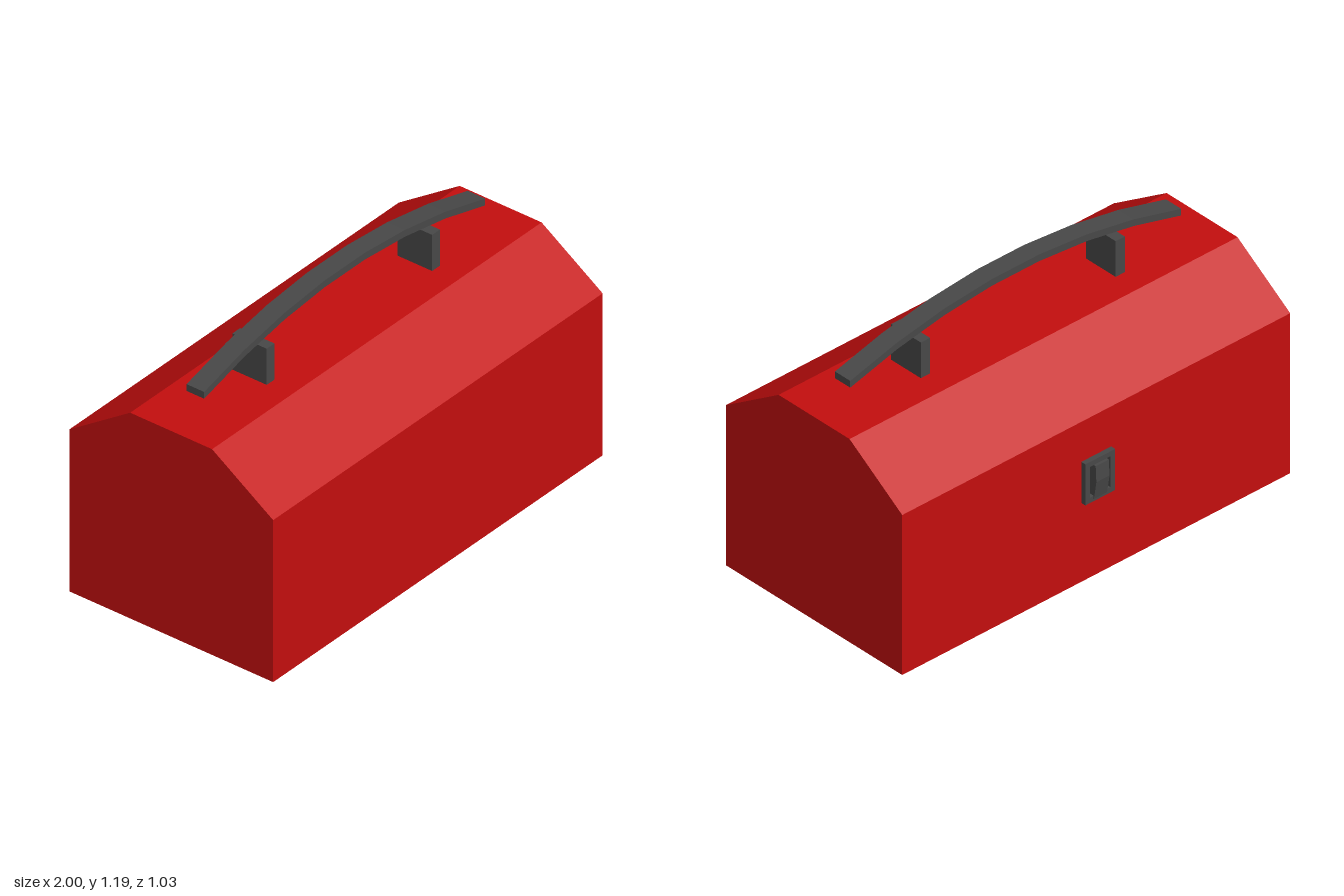
import * as THREE from 'three';

const red = new THREE.MeshStandardMaterial({ color: 0xc40e0e, flatShading: true });
red.name = 'red paint';
const grey = new THREE.MeshStandardMaterial({ color: 0x484848, flatShading: true });
grey.name = 'dark grey metal';

const toShape = (pts) => new THREE.Shape(pts.map(([x, y]) => new THREE.Vector2(x, y)));

// Extrudes an outline of (z, y) points along x, centred on x = 0
function extrudeAlongX(pts, width) {
  const g = new THREE.ExtrudeGeometry(toShape(pts.map(([z, y]) => [-z, y])), { depth: width, bevelEnabled: false });
  return g.translate(0, 0, -width / 2).rotateY(Math.PI / 2);
}

export function createModel() {
  const model = new THREE.Group();
  model.name = 'toolbox';
  const add = (name, geometry, material) => {
    const mesh = new THREE.Mesh(geometry, material);
    mesh.name = name;
    model.add(mesh);
    return mesh;
  };

  // Box with sloping lid
  add('body', extrudeAlongX([
    [0.518, 0], [0.518, 0.74], [0.22, 0.94], [-0.18, 0.94], [-0.477, 0.74], [-0.477, 0],
  ], 2), red);

  // Handle posts
  for (const side of [-1, 1]) {
    add(side < 0 ? 'rightPost' : 'leftPost', new THREE.BoxGeometry(0.047, 0.165, 0.168), grey)
      .position.set(side * 0.502, 1.0225, 0.021);
  }

  // Arched handle: seven straight segments
  const top = [], bottom = [];
  for (let i = 0; i <= 7; i++) {
    const x = -0.853 + (1.706 * i) / 7;
    const y = 1.193 - 0.183 * x * x;
    top.push([x, y]);
    bottom.unshift([x, y - 0.031]);
  }
  const handle = new THREE.ExtrudeGeometry(toShape([...top, ...bottom]), { depth: 0.086, bevelEnabled: false });
  add('handle', handle.translate(0, 0, -0.023), grey);

  // Latch frame on the back, open in the middle
  const frame = toShape([[-0.077, 0.365], [0.077, 0.365], [0.077, 0.555], [-0.077, 0.555]]);
  frame.holes.push(toShape([[-0.052, 0.39], [-0.052, 0.532], [0.052, 0.532], [0.052, 0.39]]));
  add('latchFrame', new THREE.ExtrudeGeometry(frame, { depth: 0.024, bevelEnabled: false })
    .translate(0, 0, -0.5), grey);

  // Latch lever with bent outer face
  add('latchLever', extrudeAlongX([
    [-0.477, 0.375], [-0.501, 0.375], [-0.515, 0.46], [-0.511, 0.532], [-0.477, 0.532],
  ], 0.068), grey);

  return model;
}
